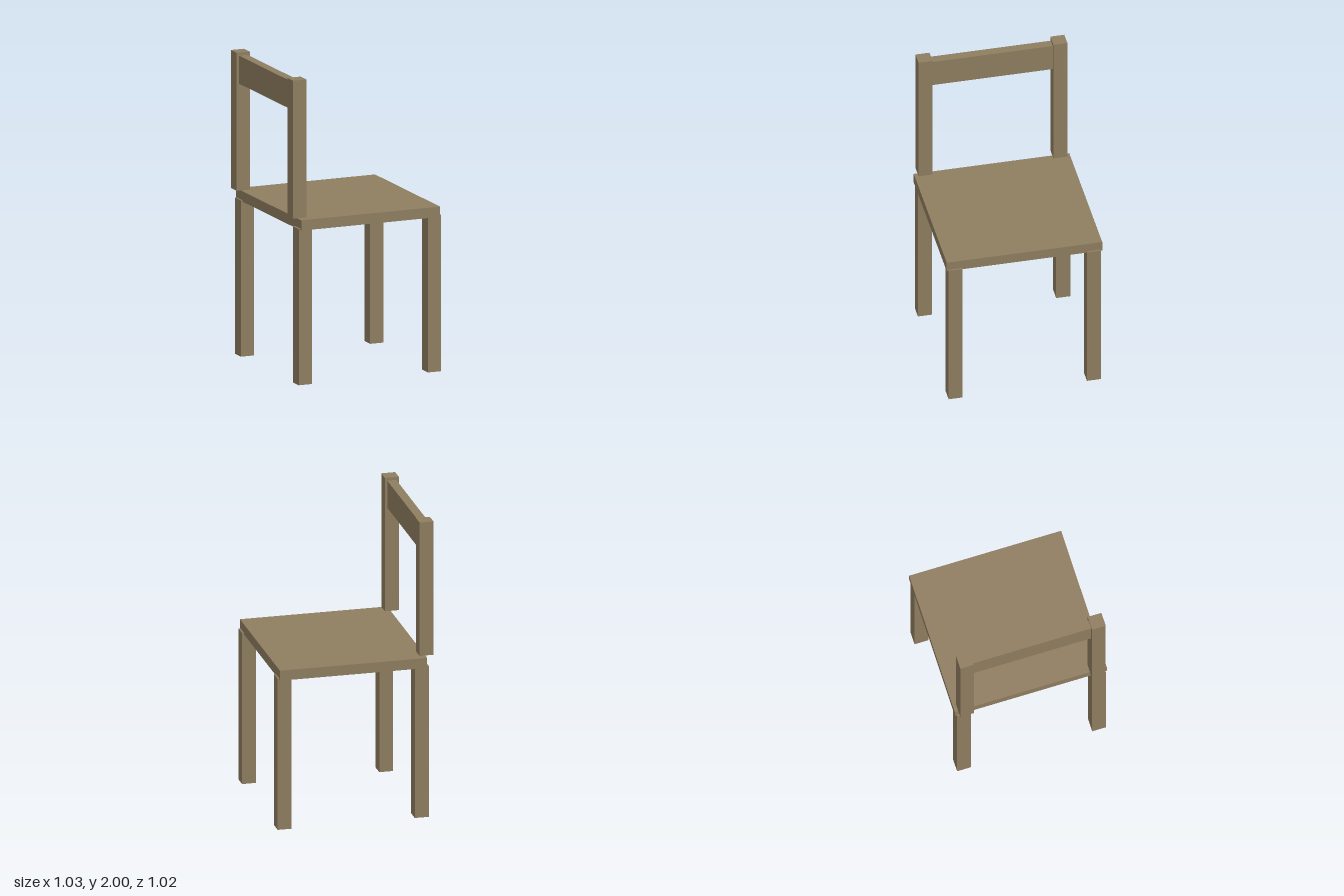
import * as THREE from 'three';

export function createModel() {
  const model = new THREE.Group();
  model.name = 'chair';

  const wood = new THREE.MeshStandardMaterial({ color: 0x8f7d60 });
  wood.name = 'brown wood';

  // Adds a box spanning [min, max] on each axis
  function addBox(name, [x0, x1], [y0, y1], [z0, z1]) {
    const mesh = new THREE.Mesh(new THREE.BoxGeometry(x1 - x0, y1 - y0, z1 - z0), wood);
    mesh.position.set((x0 + x1) / 2, (y0 + y1) / 2, (z0 + z1) / 2);
    mesh.name = name;
    model.add(mesh);
  }

  // Seat slab
  addBox('seat', [-0.47, 0.504], [1.016, 1.084], [-0.511, 0.509]);

  // Legs and backrest posts, one set on each side
  for (const [side, legZ, postZ] of [
    ['Right', [0.407, 0.499], [0.395, 0.487]],
    ['Left', [-0.5, -0.408], [-0.489, -0.397]],
  ]) {
    addBox('rearLeg' + side, [-0.483, -0.391], [0, 1.026], legZ);
    addBox('frontLeg' + side, [0.424, 0.516], [0, 1.026], legZ);
    addBox('backPost' + side, [-0.517, -0.425], [1.094, 2], postZ);
  }

  // Top rail between the posts
  addBox('backRail', [-0.5, -0.441], [1.796, 1.98], [-0.4, 0.4]);

  return model;
}
